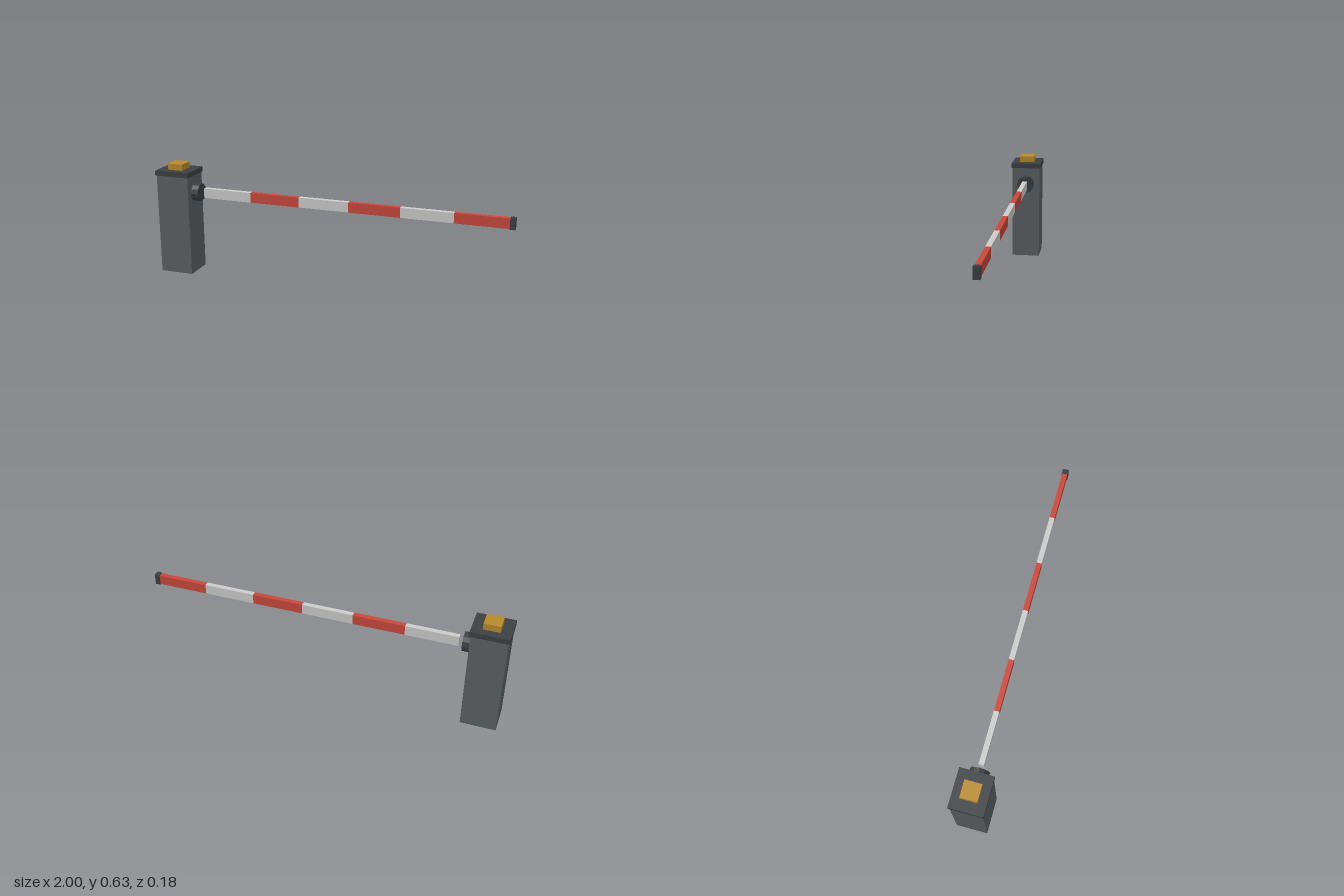
import * as THREE from 'three';

const mat = (color) => new THREE.MeshStandardMaterial({ color, flatShading: true });

export function createModel() {
  const group = new THREE.Group();
  const steel = mat(0x5c6064), dark = mat(0x3c4043), amber = mat(0xb88a2c);
  const white = mat(0xcccccc), red = mat(0xc8483c);

  const add = (name, geometry, material, x, y) => {
    const mesh = new THREE.Mesh(geometry, material);
    mesh.name = name;
    mesh.position.set(x, y, 0);
    group.add(mesh);
    return mesh;
  };
  const box = (name, material, w, h, d, x, y) =>
    add(name, new THREE.BoxGeometry(w, h, d), material, x, y);

  // Cabinet with lid and warning lamp
  const cabinetX = -0.898;
  box('cabinet', steel, 0.192, 0.568, 0.17, cabinetX, 0.284);
  box('lid', dark, 0.204, 0.028, 0.18, cabinetX, 0.582);
  box('warningLamp', amber, 0.09, 0.035, 0.09, cabinetX, 0.6135);

  // Pivot hub on the cabinet's side
  const armY = 0.469;
  const hub = add('pivotHub', new THREE.CylinderGeometry(0.051, 0.051, 0.042, 12), dark, -0.781, armY);
  hub.rotation.z = Math.PI / 2;

  // Striped boom arm, alternating white and red
  const start = -0.738, count = 6, step = 0.285;
  for (let i = 0; i < count; i++) {
    box('boomStripe' + (i + 1), i % 2 ? red : white, step, 0.055, 0.028, start + (i + 0.5) * step, armY);
  }
  box('boomEndCap', dark, 0.028, 0.061, 0.034, 0.986, armY);

  return group;
}
